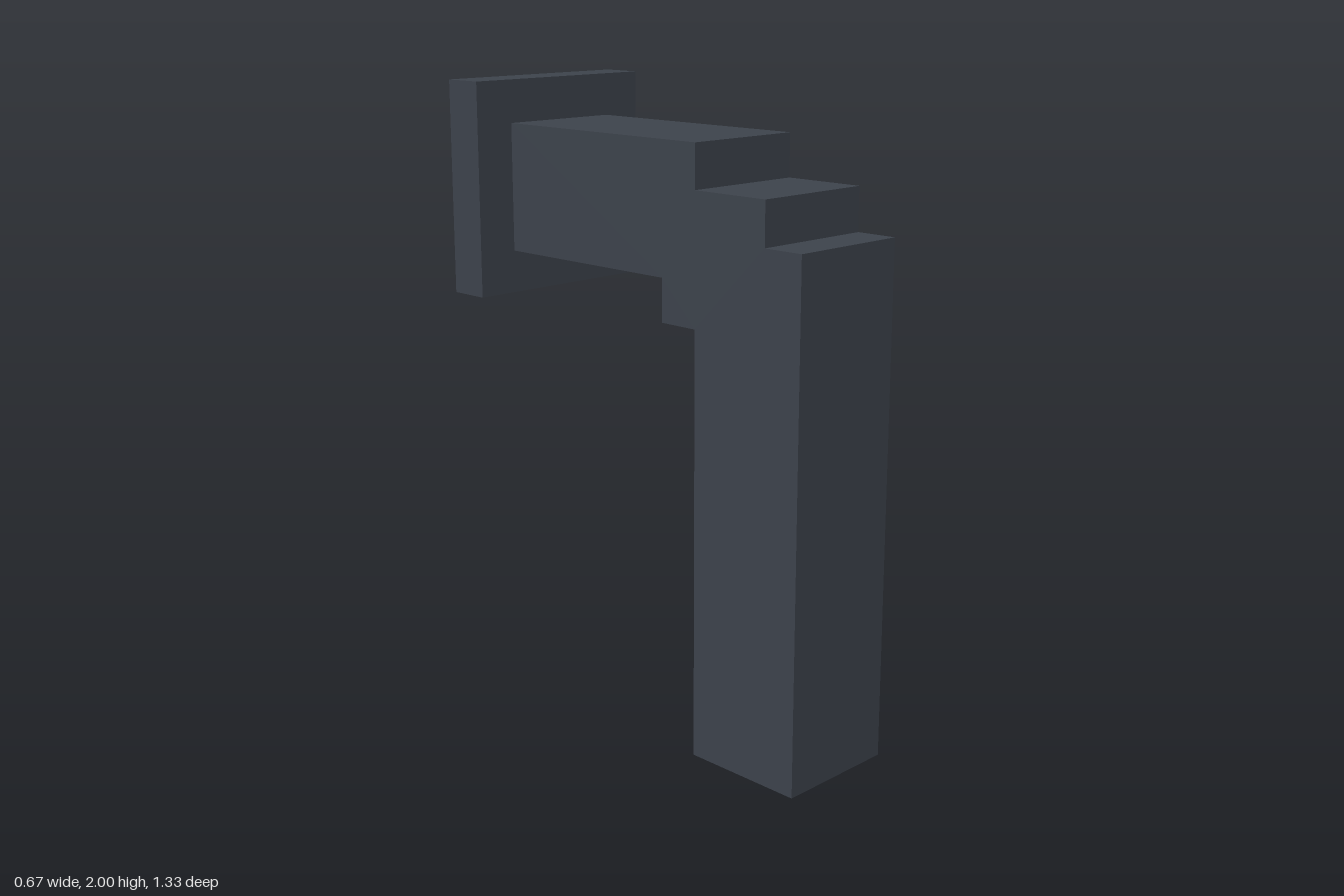
import * as THREE from 'three';

const U = 2 / 15; // modular block unit

export function createModel() {
  const model = new THREE.Group();
  const darkSlate = new THREE.MeshStandardMaterial({ color: 0x3c424b });
  darkSlate.name = 'dark slate';

  // Stepped elbow pipe: side profile as [z, y] in block units
  const profile = [
    [2, 0], [5, 0], [5, 12], [4, 12], [4, 13], [2, 13], [2, 14],
    [-4, 14], [-4, 11], [1, 11], [1, 10], [2, 10],
  ];
  const shape = new THREE.Shape(profile.map(([z, y]) => new THREE.Vector2(z * U, y * U)));
  const pipeGeometry = new THREE.ExtrudeGeometry(shape, { depth: 3 * U, bevelEnabled: false });
  pipeGeometry.translate(0, 0, -1.5 * U).rotateY(-Math.PI / 2);
  const pipe = new THREE.Mesh(pipeGeometry, darkSlate);
  pipe.name = 'elbowPipe';
  model.add(pipe);

  // Square mounting plate at the back
  const plate = new THREE.Mesh(new THREE.BoxGeometry(5 * U, 5 * U, U), darkSlate);
  plate.name = 'mountingPlate';
  plate.position.set(0, 12.5 * U, -4.5 * U);
  model.add(plate);

  return model;
}
